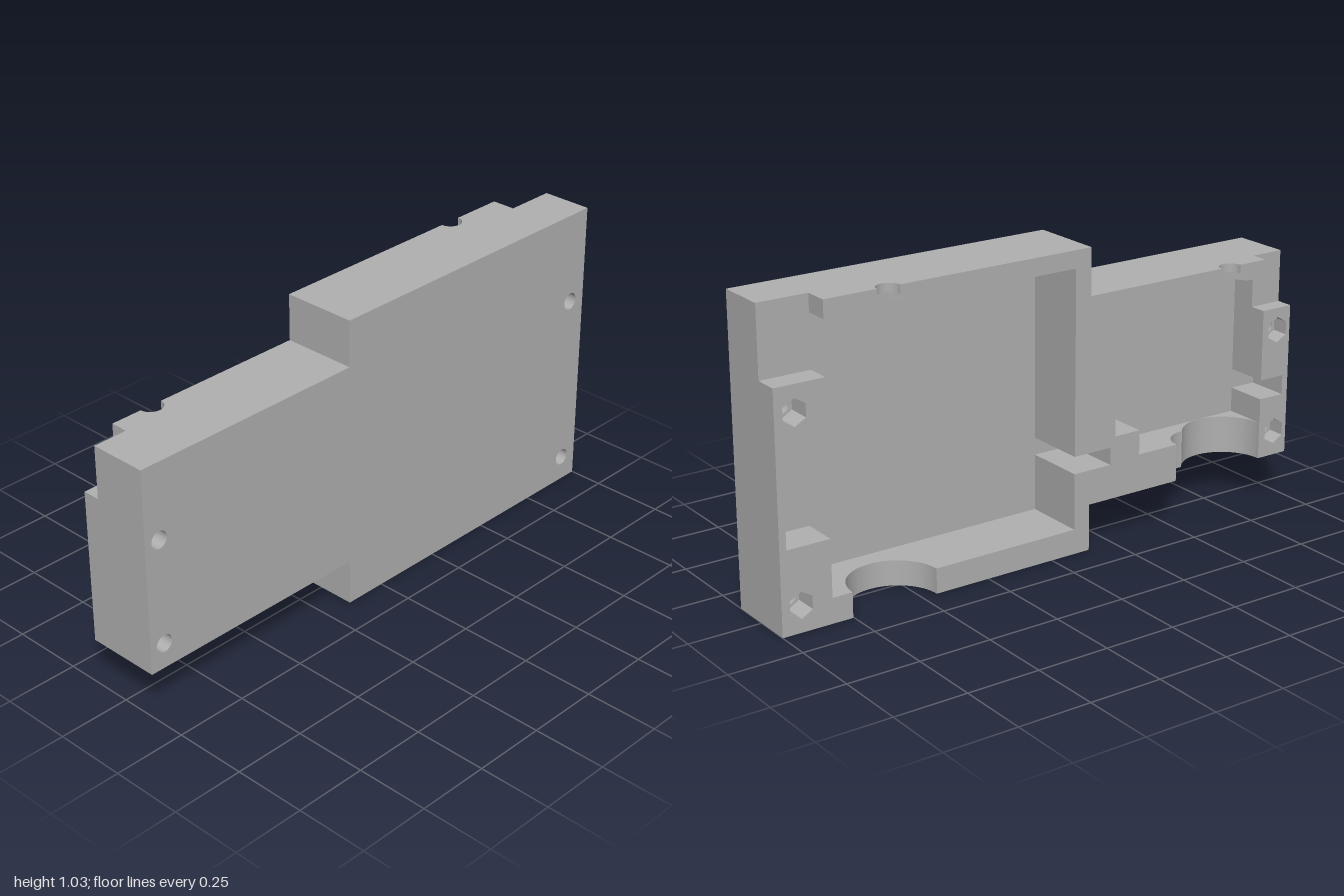
import * as THREE from 'three';

const BACK = -0.13, FRONT = 0.13, FLOOR = 0.09, SHALLOW = 0.02;

export function createModel() {
  const model = new THREE.Group();
  const grey = new THREE.MeshStandardMaterial({ color: 0xb0b0b0 });
  grey.name = 'grey';

  const add = (name, geometry) => {
    const mesh = new THREE.Mesh(geometry, grey);
    mesh.name = name;
    model.add(mesh);
  };
  const toShape = (pts) => new THREE.Shape(pts.map(([x, y]) => new THREE.Vector2(x, y)));
  const rect = (x0, x1, y0, y1) => [[x0, y0], [x1, y0], [x1, y1], [x0, y1]];

  // Closed ring of points: many sides for a round hole, six for a nut pocket
  const ring = (x, y, r, sides) => Array.from({ length: sides }, (_, i) => {
    const a = Math.PI / 2 + (i / sides) * Math.PI * 2;
    return [x + r * Math.cos(a), y + r * Math.sin(a)];
  });

  // Plate in the XY plane, running from z0 to z1
  const plate = (name, pts, z0, z1, holes = []) => {
    const shape = toShape(pts);
    shape.holes = holes.map(toShape);
    const g = new THREE.ExtrudeGeometry(shape, { depth: z1 - z0, bevelEnabled: false });
    add(name, g.translate(0, 0, z0));
  };

  // Arc bitten out of the back edge of a wall, ordered from low x to high x
  const bite = (x, r, segments = 32, from = Math.PI, to = 0) =>
    Array.from({ length: segments + 1 }, (_, i) => {
      const a = from + (to - from) * (i / segments);
      return [x + r * Math.cos(a), -BACK - r * Math.sin(a)];
    });

  // Horizontal wall from y0 to y1 with bites in its back edge
  const wall = (name, x0, x1, y0, y1, zFront, bites) => {
    const pts = [[x0, -zFront], [x0, -BACK], ...bites, [x1, -BACK], [x1, -zFront]];
    const g = new THREE.ExtrudeGeometry(toShape(pts), { depth: y1 - y0, bevelEnabled: false });
    add(name, g.rotateX(-Math.PI / 2).translate(0, y0, 0));
  };

  // Screw positions at both ends
  const leftScrews = [[0.932, 0.705], [0.932, 0.09]];
  const rightScrews = [[-0.945, 0.612], [-0.945, 0.247]];
  const round = (list) => list.map(([x, y]) => ring(x, y, 0.03, 32));
  const hex = (list) => list.map(([x, y]) => ring(x, y, 0.045, 6));

  // Front face plate with its stepped outline
  plate('frontPlate', [
    [-1, 0.16], [-0.15, 0.16], [-0.15, 0], [1, 0], [1, 1.03], [-0.15, 1.03], [-0.15, 0.87], [-1, 0.87],
  ], FLOOR, FRONT, round([...leftScrews, ...rightScrews]));

  // End blocks: side slot on the inner edge, hex nut pockets behind, lowered back corner
  const endBlock = (name, inner, outer, slotEnd, y0, y1, yNotch, s0, s1, zNotch, screws) => {
    const outline = (top) => [
      [outer, y0], [outer, top], [inner, top], [inner, s1], [slotEnd, s1], [slotEnd, s0], [inner, s0], [inner, y0],
    ];
    plate(name + 'Base', outline(y1), zNotch, FLOOR, round(screws));
    plate(name + 'Back', outline(yNotch), BACK, zNotch, hex(screws));
  };
  endBlock('leftEndBlock', 0.824, 1, 0.976, 0, 1.03, 0.793, 0.28, 0.34, -0.047, leftScrews);
  endBlock('rightEndBlock', -0.88, -1, -0.977, 0.16, 0.87, 0.69, 0.375, 0.443, -0.07, rightScrews);

  // Divider between the pockets, with two offset slots
  plate('divider', [
    [-0.09, 0.086], [-0.09, 0.28], [-0.235, 0.28], [-0.235, 0.34], [-0.09, 0.34], [-0.09, 0.97],
    [-0.15, 0.97], [-0.15, 0.87], [-0.355, 0.87], [-0.355, 0.443], [-0.254, 0.443], [-0.254, 0.375],
    [-0.355, 0.375], [-0.355, 0.16], [-0.15, 0.16], [-0.15, 0.086],
  ], BACK, FLOOR);

  // Shallow pocket floor and the floors of its side slots
  plate('smallPocketFloor', rect(-0.88, -0.355, 0.29, 0.87), SHALLOW, FLOOR);
  plate('slotFloor', rect(-0.977, -0.88, 0.375, 0.443), SHALLOW, FLOOR);
  plate('slotFloor', rect(-0.355, -0.254, 0.375, 0.443), SHALLOW, FLOOR);

  // Top walls: small round bore above a half-hex nut trap
  const topWall = (name, x0, x1, y0, zFront, x) => {
    wall(name + 'NutTrap', x0, x1, y0, y0 + 0.03, zFront, bite(x, 0.07, 3));
    wall(name + 'Bore', x0, x1, y0 + 0.03, y0 + 0.06, zFront, bite(x, 0.04));
  };
  topWall('largeTopWall', -0.15, 0.824, 0.97, FLOOR, 0.6);
  topWall('smallTopWall', -0.88, -0.355, 0.81, SHALLOW, -0.73);

  // Bottom walls with large half-round openings
  wall('largeBottomWall', -0.15, 0.824, 0, 0.086, FLOOR, bite(0.6, 0.153, 40));
  wall('smallBottomWall', -0.88, -0.355, 0.16, 0.29, FLOOR, [
    ...bite(-0.73, 0.149, 32, Math.PI, 0.646),
    ...bite(-0.604, 0.09, 16, 1.6, 0),
  ]);

  return model;
}
